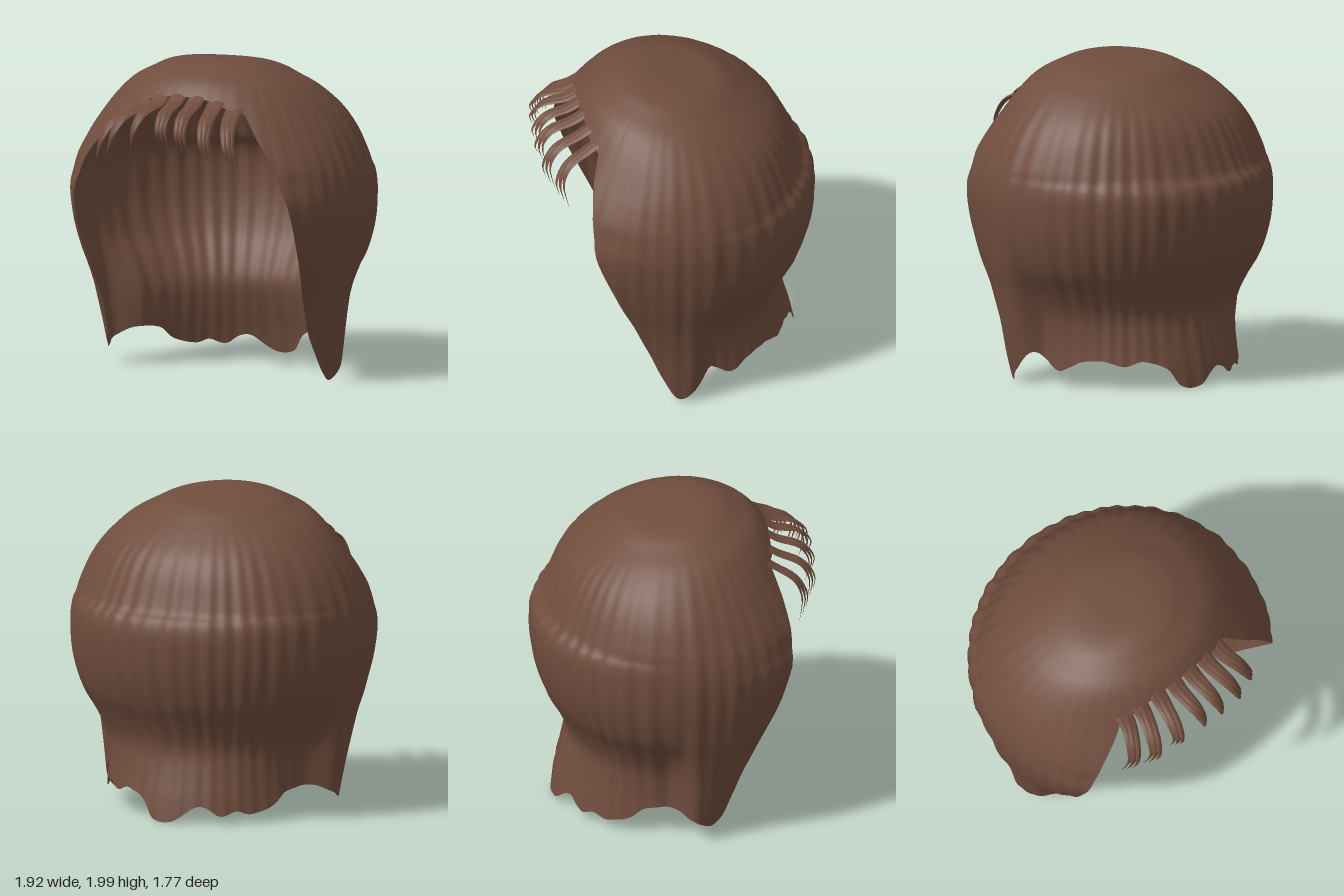
import * as THREE from 'three';
import { mergeGeometries } from 'three/addons/utils/BufferGeometryUtils.js';

const { smoothstep, degToRad, lerp } = THREE.MathUtils;
const spline = (pairs) => new THREE.SplineCurve(pairs.map(([x, y]) => new THREE.Vector2(x, y)));

// Finds the curve parameter whose x equals the given value (x runs one way only)
function solve(curve, x) {
  const rising = curve.points[curve.points.length - 1].x > curve.points[0].x;
  let lo = 0, hi = 1;
  for (let i = 0; i < 24; i++) {
    const mid = (lo + hi) / 2;
    if ((curve.getPoint(mid).x < x) === rising) lo = mid; else hi = mid;
  }
  return (lo + hi) / 2;
}

// Cross-sections from crown to hem: height, half width, front depth, back depth, half width behind the ears
const SECTIONS = [
  [1.972, 0, 0, 0, 0], [1.967, .2, .2, .25, .2], [1.94, .35, .31, .35, .35],
  [1.89, .46, .41, .43, .46], [1.82, .59, .53, .52, .59], [1.7, .72, .65, .625, .72],
  [1.55, .83, .765, .715, .83], [1.4, .9, .835, .775, .9], [1.33, .925, .855, .807, .92],
  [1.27, .94, .87, .862, .935], [1.15, .955, .92, .882, .945], [.95, .945, .855, .86, .935],
  [.75, .915, .735, .8, .88], [.6, .88, .63, .72, .79], [.45, .855, .53, .665, .72],
  [.3, .835, .44, .69, .695], [.15, .815, .38, .73, .695], [0, .785, .32, .76, .71],
];
const heightWidth = spline(SECTIONS.map((s) => [s[0], s[1]]));
const depths = spline(SECTIONS.map((s) => [s[2], s[3]]));
const backWidths = spline(SECTIONS.map((s) => [s[0], s[4]]));

// Hem height by angle in degrees from the front: fringe line, face opening, side lock, nape
const FRONT = [[18, 1.75], [30, 1.71], [37, 1.695], [39.5, 1.64], [42, 1.56], [46.5, 1.4], [52, 1.1], [59, .75],
  [67, .42], [75, .17]];
const LEFT = [[83, .005], [90, .08], [97, .2], [103, .16], [111, .1], [118, .13], [125, .17], [136, .18],
  [147, .15], [156, .18], [168, .13], [175, .02]];
const RIGHT = [[185, .01], [196, .1], [202, .1], [209, .05], [217, .08], [224, .06], [236, .1], [245, .18],
  [260, .2], [268, .15], [277, .1], [285, .2]];
const hem = spline([[0, 1.765], ...FRONT, ...LEFT, ...RIGHT,
  ...FRONT.slice(0, -1).reverse().map(([a, y]) => [360 - a, y]), [360, 1.765]]);

// A point on the hair shell at an angle from the front and a parameter from crown to hem
function shellPoint(a, p) {
  const hw = heightWidth.getPoint(p), d = depths.getPoint(p);
  const s = Math.sin(a), c = Math.cos(a);
  const w = lerp(hw.y, backWidths.getPoint(p).y, smoothstep(-c, -.02, .25));
  const depth = lerp(d.x, d.y, smoothstep(-c, -.02, .02));
  // the sides are squarer where they turn in toward the face
  const n = 2 + .2 * smoothstep(c, 0, .2) * (1 - smoothstep(hw.x, 1.35, 1.6));
  let r = 0;
  if (p > 1e-5) {
    r = (Math.abs(s / Math.max(w, 1e-4)) ** n + Math.abs(c / Math.max(depth, 1e-4)) ** n) ** (-1 / n);
  }
  // combed strands, faint over the crown and the nape
  const strands = Math.sin(45 * a + 1.6 * Math.sin(5 * a)) + .6 * Math.sin(23 * a + 1);
  const strength = lerp(.0025, .005, smoothstep(-c, -.6, .1)) * lerp(.5, 1, smoothstep(hw.x, .2, .9));
  r += strands * strength * smoothstep(p, .15, .5);
  const tilt = .13 * smoothstep(hw.x, 1.6, 1.95);
  return [r * s, hw.x + tilt * r * c, r * c];
}

function hairShell(cols = 360, rows = 56) {
  const pos = [], index = [];
  for (let i = 0; i < cols; i++) {
    const deg = (i / cols) * 360, a = degToRad(deg);
    const end = solve(heightWidth, hem.getPoint(solve(hem, deg)).y);
    for (let j = 0; j <= rows; j++) pos.push(...shellPoint(a, (end * j) / rows));
    const n = ((i + 1) % cols) * (rows + 1), m = i * (rows + 1);
    for (let j = 0; j < rows; j++) {
      index.push(m + j, m + j + 1, n + j + 1);
      if (j > 0) index.push(m + j, n + j + 1, n + j);
    }
  }
  const g = new THREE.BufferGeometry();
  g.setAttribute('position', new THREE.Float32BufferAttribute(pos, 3));
  g.setIndex(index);
  g.computeVertexNormals();
  return g;
}

// Tapered strand with an arched section, following a curve
function strand(points, width, steps = 16, across = 6) {
  const curve = new THREE.CatmullRomCurve3(points.map((p) => new THREE.Vector3(...p)));
  const pos = [], index = [];
  for (let j = 0; j <= steps; j++) {
    const t = j / steps, c = curve.getPoint(t), tan = curve.getTangent(t);
    const side = new THREE.Vector3(1, 0, -.6 * c.x).normalize();
    const out = side.clone().cross(tan).normalize().negate();
    const w = width * (1 - t ** 2.2) + .002;
    for (let k = 0; k <= across; k++) {
      const u = (k / across) * 2 - 1;
      const v = c.clone().addScaledVector(side, u * w / 2).addScaledVector(out, (1 - u * u) * w * .22);
      pos.push(v.x, v.y, v.z);
      if (j < steps && k < across) {
        const q = j * (across + 1) + k, r = q + across + 1;
        index.push(q, r, r + 1, q, r + 1, q + 1);
      }
    }
  }
  const g = new THREE.BufferGeometry();
  g.setAttribute('position', new THREE.Float32BufferAttribute(pos, 3));
  g.setIndex(index);
  g.computeVertexNormals();
  return g;
}

// One fringe lock: three overlapping strands that share a root and part at the tips
function fringeLock(rootX, tipX, tipY, reach) {
  const rootY = 1.795 - .55 * rootX * rootX, rootZ = .605 - .35 * rootX * rootX;
  const midX = lerp(rootX, tipX, .4), parts = [];
  for (const k of [-1, 0, 1]) {
    const outward = Math.sign(tipX || 1) * k;
    parts.push(strand([
      [rootX * .97 + k * .028, rootY + .004, rootZ - .03],
      [rootX + k * .026, rootY - .04, rootZ + .04],
      [midX + k * .02, lerp(rootY, tipY, .3), lerp(rootZ, reach, .75) - .012 * outward],
      [lerp(midX, tipX, .5) + k * .016, lerp(rootY, tipY, .6), reach - .02 * outward],
      [tipX + k * .024, tipY + .02 - .03 * outward, reach - .02 - .025 * outward],
    ], k ? .055 : .075));
  }
  return mergeGeometries(parts);
}

export function createModel() {
  const hair = new THREE.MeshStandardMaterial({ color: 0x704d3d, side: THREE.DoubleSide });
  hair.name = 'brown hair';
  const model = new THREE.Group();
  model.name = 'hair';
  const add = (name, geometry) => {
    const mesh = new THREE.Mesh(geometry, hair);
    mesh.name = name;
    model.add(mesh);
  };
  add('hairShell', hairShell());

  // Fringe: root x, tip x, tip height, forward reach
  [[-.4, -.53, 1.37, .74], [-.29, -.41, 1.43, .81], [-.16, -.23, 1.48, .84], [-.03, 0, 1.5, .855],
    [.1, .14, 1.48, .86], [.23, .31, 1.42, .84], [.35, .46, 1.38, .78],
  ].forEach((l, i) => add(`fringeLock${i + 1}`, fringeLock(...l)));
  return model;
}
